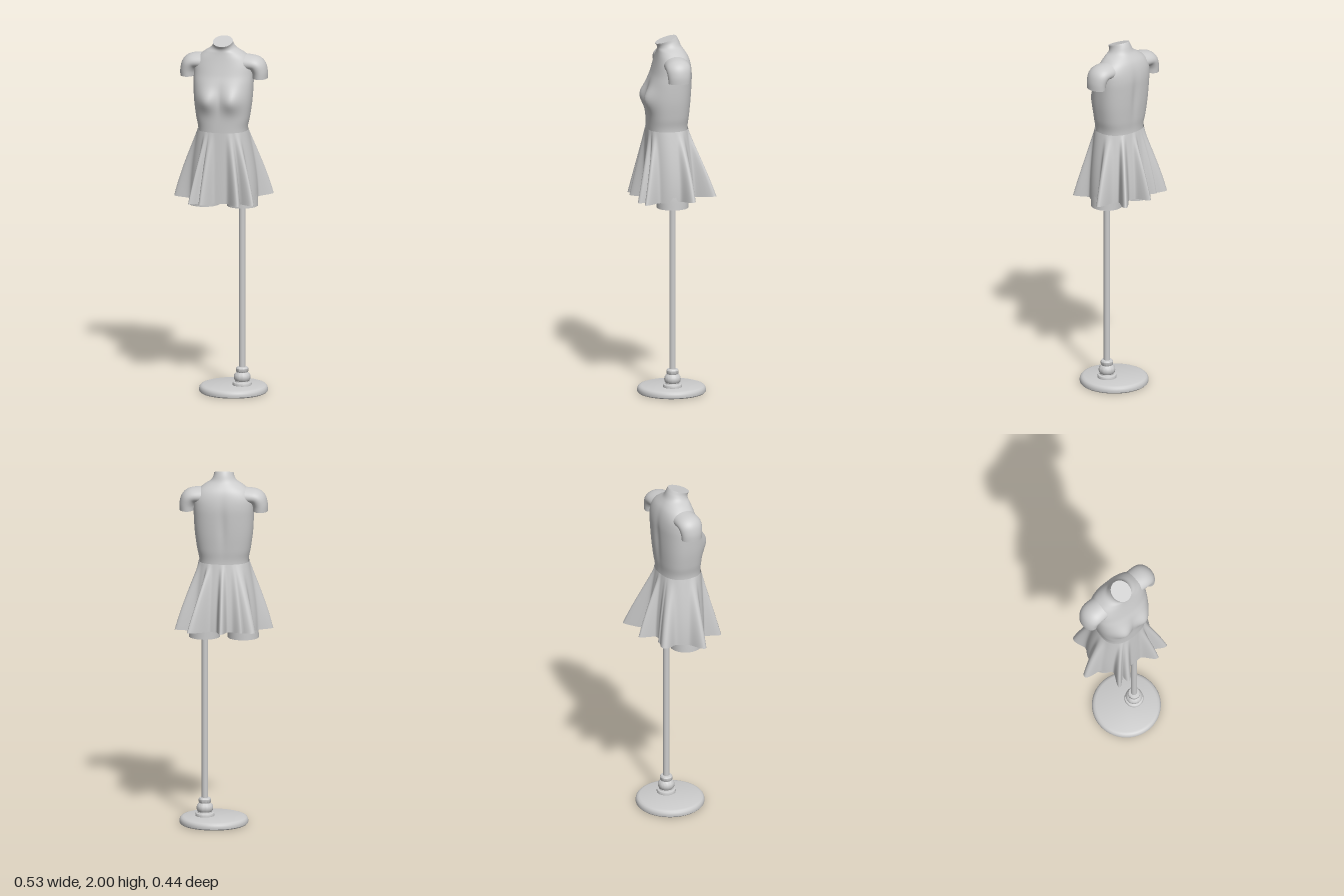
import * as THREE from 'three';
import { toCreasedNormals } from 'three/addons/utils/BufferGeometryUtils.js';

const material = new THREE.MeshStandardMaterial({ color: 0xcccccc });
const clothMaterial = new THREE.MeshStandardMaterial({ color: 0xcccccc, side: THREE.DoubleSide });

// Smoothly resample a table of section rows to n + 1 rows
function resample(rows, n) {
  const curves = rows[0].map((_, c) => new THREE.SplineCurve(rows.map((r, i) => new THREE.Vector2(i, r[c]))));
  return Array.from({ length: n + 1 }, (_, i) => curves.map((c) => c.getPoint(i / n).y));
}

// Skin closed rings (ordered bottom to top), with optional flat caps
function loft(rings, capped) {
  const n = rings[0].length;
  const pos = rings.flat(2);
  const idx = [];
  for (let j = 0; j < rings.length - 1; j++) {
    for (let i = 0; i < n; i++) {
      const a = j * n + i, b = j * n + (i + 1) % n;
      idx.push(a, a + n, b, b, a + n, b + n);
    }
  }
  const cap = (ring, top) => {
    const start = pos.length / 3;
    pos.push(...ring.flat());
    pos.push(...[0, 1, 2].map((k) => ring.reduce((s, p) => s + p[k], 0) / n));
    for (let i = 0; i < n; i++) {
      const a = start + i, b = start + (i + 1) % n;
      if (top) idx.push(start + n, b, a);
      else idx.push(start + n, a, b);
    }
  };
  if (capped) {
    cap(rings[0], false);
    cap(rings[rings.length - 1], true);
  }
  const geo = new THREE.BufferGeometry();
  geo.setAttribute('position', new THREE.Float32BufferAttribute(pos, 3));
  geo.setIndex(idx);
  geo.computeVertexNormals();
  return geo;
}

const angles = (n) => Array.from({ length: n }, (_, i) => (i / n) * Math.PI * 2);

// Rounded section: half width, front z, back z, squareness exponent
function section(a, hw, zf, zb, e) {
  const c = Math.cos(a), s = Math.sin(a);
  const k = Math.pow(Math.pow(Math.abs(c), e) + Math.pow(Math.abs(s), e), -1 / e);
  return [hw * k * c, (zf + zb) / 2 + ((zf - zb) / 2) * k * s];
}

// Bell curve falling from 1 at d = 0
const bell = (d, power = 2) => Math.exp(-Math.pow(Math.abs(d), power));

function makeTorso() {
  // y, half width, front z, back z, squareness
  const rows = [
    [1.15, 0.15, 0.1, -0.08, 2.2], [1.25, 0.16, 0.12, -0.095, 2.2], [1.36, 0.148, 0.135, -0.095, 2.3],
    [1.48, 0.135, 0.137, -0.085, 2.4], [1.56, 0.148, 0.138, -0.092, 2.5], [1.65, 0.16, 0.137, -0.1, 2.5],
    [1.74, 0.165, 0.126, -0.105, 2.5], [1.8, 0.165, 0.108, -0.106, 2.5], [1.85, 0.16, 0.094, -0.1, 2.5],
    [1.89, 0.14, 0.084, -0.088, 2.4], [1.92, 0.105, 0.078, -0.07, 2.2], [1.94, 0.072, 0.077, -0.052, 2],
    [1.96, 0.058, 0.081, -0.04, 2], [1.98, 0.055, 0.09, -0.028, 2],
  ];
  const rings = resample(rows, 78).map(([y, hw, zf, zb, e]) => angles(96).map((a) => {
    let [x, z] = section(a, hw, zf, zb, e);
    if (z > 0.02) {
      // Bust
      z += 0.035 * bell((Math.abs(x) - 0.07) / 0.055) * bell((y - 1.665) / 0.062) * Math.min(1, (z - 0.02) / 0.06);
    } else {
      // Spine groove
      z += 0.008 * bell(x / 0.022) * bell((y - 1.7) / 0.12);
    }
    // Forward tilt of the neck cut
    const tilt = THREE.MathUtils.smoothstep(y, 1.92, 1.98);
    return [x, y - (z - 0.03) * 0.33 * tilt, z];
  }));
  return loft(rings, true);
}

function makeSleeve(side) {
  // centre x, centre y, lean, radius across, radius in depth
  const rows = [
    [0.203, 1.775, 0, 0.041, 0.06], [0.201, 1.81, 0.15, 0.043, 0.063], [0.187, 1.843, 0.5, 0.047, 0.068],
    [0.157, 1.857, 0.9, 0.051, 0.07], [0.105, 1.857, 1.2, 0.053, 0.068],
  ];
  const rings = resample(rows, 20).map(([cx, cy, lean, rx, rz]) => angles(40).map((a) => {
    const u = rx * Math.cos(a), t = side * lean;
    return [side * cx + u * Math.cos(t), cy + u * Math.sin(t), -0.003 + rz * Math.sin(a)];
  }));
  return loft(rings, true);
}

function makeThigh(side) {
  // y, centre x, radius across, radius in depth
  const rows = [[1.055, 0.107, 0.086, 0.088], [1.15, 0.103, 0.084, 0.09], [1.25, 0.085, 0.078, 0.092], [1.33, 0.075, 0.06, 0.08]];
  const rings = resample(rows, 12).map(([y, cx, rx, rz]) =>
    angles(40).map((a) => [side * cx + rx * Math.cos(a), y, 0.015 + rz * Math.sin(a)]));
  return loft(rings, true);
}

function makeSkirt() {
  // Fold tips at the hem: x, z, angular width
  const folds = [
    [0.0, -0.222, 0.13], [0.185, -0.215, 0.11], [0.264, -0.075, 0.13], [0.2, 0.185, 0.12], [0.12, 0.21, 0.13],
    [-0.095, 0.215, 0.14], [-0.158, 0.212, 0.1], [-0.27, 0.045, 0.14], [-0.18, -0.165, 0.2], [-0.11, -0.155, 0.12],
  ].map(([x, z, w]) => ({ angle: Math.atan2(z, x), radius: Math.hypot(x, z), w }));
  const rows = 24;
  const rings = [];
  for (let j = rows; j >= 0; j--) {
    const t = j / rows;
    const spread = Math.sin((t * Math.PI) / 2);
    rings.push(angles(240).map((a) => {
      const [wx, wz] = section(a, 0.139, 0.141, -0.089, 2.4);
      const [hx, hz] = section(a, 0.19, 0.15, -0.13, 2.2);
      let x = THREE.MathUtils.lerp(wx, hx, spread), z = THREE.MathUtils.lerp(wz, hz, spread);
      // Push the cloth outwards along each fold
      const r = Math.hypot(hx, hz), dir = Math.atan2(hz, hx);
      let out = 0;
      for (const f of folds) {
        const d = Math.atan2(Math.sin(dir - f.angle), Math.cos(dir - f.angle)) / f.w;
        out = Math.max(out, (f.radius - r) * bell(d, 2.4));
      }
      out *= Math.pow(t, 1.1);
      x += out * Math.cos(dir);
      z += out * Math.sin(dir);
      const hem = 1.1 - 0.012 * Math.sin(a) + 0.05 * out * (1 - Math.sin(a));
      return [x, THREE.MathUtils.lerp(1.485, hem, t), z];
    }));
  }
  return loft(rings, false);
}

// Turned part from a profile of radius, height pairs
const turned = (profile) => toCreasedNormals(
  new THREE.LatheGeometry(profile.map(([r, y]) => new THREE.Vector2(r, y)), 64), 0.6);

export function createModel() {
  const model = new THREE.Group();
  model.name = 'dressForm';
  const add = (name, geo, x = 0, y = 0, z = 0, mat = material) => {
    const mesh = new THREE.Mesh(geo, mat);
    mesh.name = name;
    mesh.position.set(x, y, z);
    model.add(mesh);
  };

  // Stand
  add('base', turned([[0, 0], [0.183, 0], [0.189, 0.006], [0.19, 0.016], [0.187, 0.028], [0.18, 0.036], [0.168, 0.04], [0, 0.04]]),
    0.055, 0, 0.01);
  add('poleCollar', turned([[0.052, 0.038], [0.053, 0.047], [0.05, 0.055], [0.04, 0.058], [0.038, 0.064], [0.044, 0.072],
    [0.046, 0.085], [0.044, 0.098], [0.036, 0.108], [0.031, 0.113], [0.034, 0.118], [0.034, 0.134], [0.029, 0.141], [0.016, 0.143]]),
    0.105, 0, 0.015);
  add('pole', new THREE.CylinderGeometry(0.0175, 0.0175, 0.96, 32), 0.105, 0.6, 0.015);

  // Body
  add('torso', makeTorso());
  for (const [side, label] of [[1, 'left'], [-1, 'right']]) {
    add(label + 'Sleeve', makeSleeve(side));
    add(label + 'Thigh', makeThigh(side));
  }
  add('skirt', makeSkirt(), 0, 0, 0, clothMaterial);
  return model;
}
